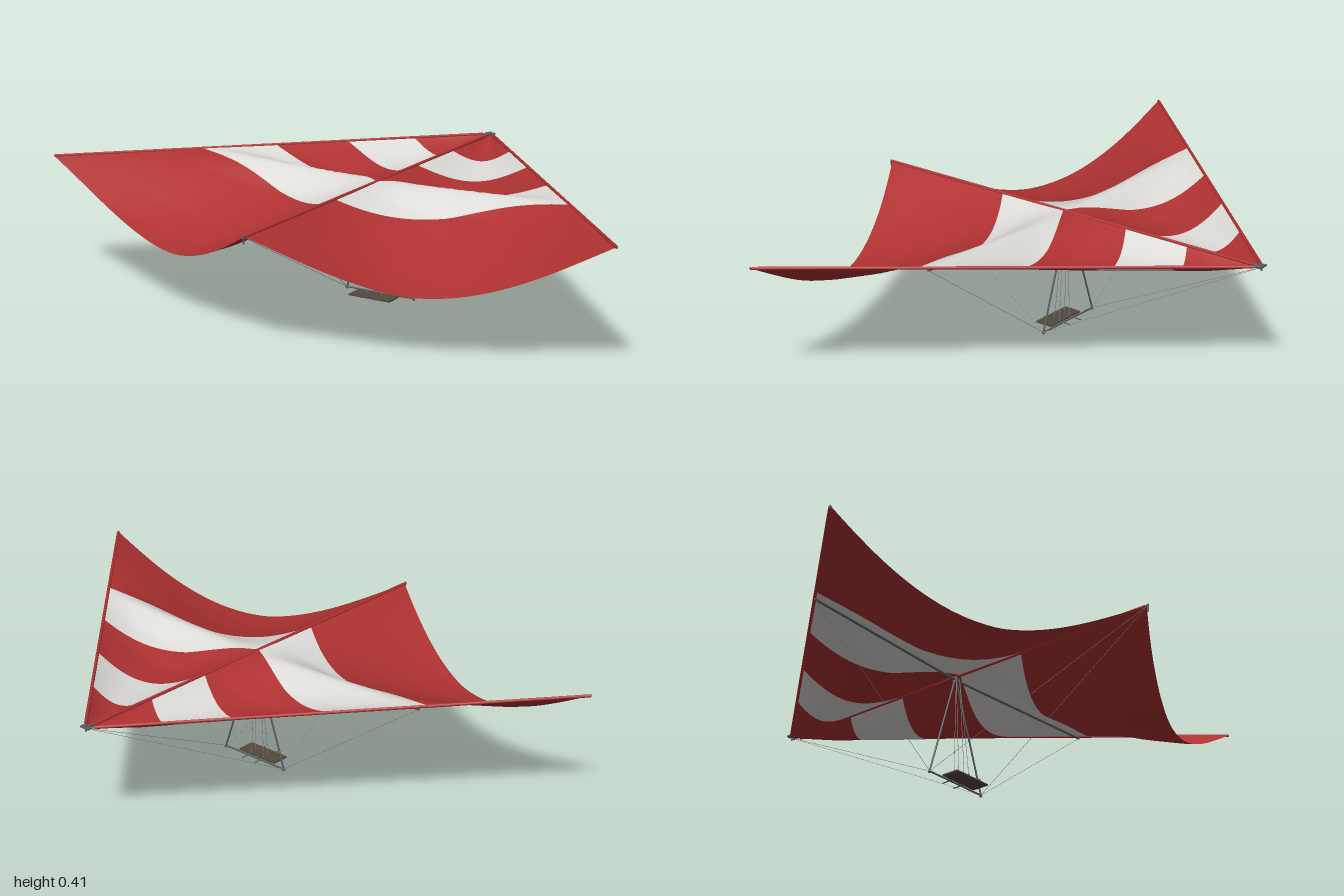
import * as THREE from 'three';

const mat = (name, color, side = THREE.FrontSide) => {
  const m = new THREE.MeshStandardMaterial({ color, side });
  m.name = name;
  return m;
};
const V = (x, y, z) => new THREE.Vector3(x, y, z);

// Depth of the sail's billow along z; the cross bar holds it up near z = 0
const BILLOW = [[-0.75, 0], [-0.6, 0.03], [-0.4, 0.052], [-0.2, 0.066], [-0.1, 0.045], [-0.05, 0.02],
  [-0.02, 0.003], [0, 0.003], [0.04, 0.025], [0.1, 0.065], [0.2, 0.105], [0.3, 0.143], [0.4, 0.172],
  [0.52, 0.192], [0.76, 0.192]];
function billow(z) {
  for (let i = 1; i < BILLOW.length; i++) {
    const [z0, d0] = BILLOW[i - 1], [z1, d1] = BILLOW[i];
    if (z <= z1) return d0 + (d1 - d0) * Math.max(0, (z - z0) / (z1 - z0));
  }
  return 0.192;
}

// Sail point: u runs from keel to leading edge, v from nose to trailing edge
function sailPoint(u, v, s) {
  const z = -0.74 + v * (1.48 + (1.115 - 1.48) * u) - 0.27 * v * u * (1 - u);
  const y = 0.382 + 0.031 * u * v - billow(z) * Math.sin(Math.PI * u);
  return [s * u * v, y, z];
}

// One coloured band of one wing, between v0 and v1
function sailBand(v0, v1, s) {
  const nu = 36, nv = Math.ceil((v1 - v0) * 100), pos = [], idx = [];
  for (let j = 0; j <= nv; j++)
    for (let i = 0; i <= nu; i++) pos.push(...sailPoint(i / nu, v0 + (v1 - v0) * j / nv, s));
  for (let j = 0; j < nv; j++)
    for (let i = 0; i < nu; i++) {
      const a = j * (nu + 1) + i, b = a + 1, c = a + nu + 1, d = c + 1;
      if (s > 0) idx.push(a, c, b, b, c, d);
      else idx.push(a, b, c, b, d, c);
    }
  const g = new THREE.BufferGeometry();
  g.setAttribute('position', new THREE.Float32BufferAttribute(pos, 3));
  g.setIndex(idx);
  g.computeVertexNormals();
  return g;
}

export function createModel() {
  const model = new THREE.Group();
  model.name = 'hangGlider';
  const red = mat('red cloth', 0xb03232);
  const redSail = mat('red sail', 0xb03232, THREE.DoubleSide);
  const whiteSail = mat('white sail', 0xdedcd8, THREE.DoubleSide);
  const frame = mat('frame grey', 0x5c5e60);
  const wire = mat('wire grey', 0x8c9090);
  const seatMat = mat('seat brown', 0x54493e);

  const add = (name, geo, m, p = V(0, 0, 0)) => {
    const mesh = new THREE.Mesh(geo, m);
    mesh.name = name;
    mesh.position.copy(p);
    model.add(mesh);
    return mesh;
  };
  const rod = (name, a, b, r, m, sides = 8) => {
    const mesh = add(name, new THREE.CylinderGeometry(r, r, a.distanceTo(b), sides), m,
      a.clone().add(b).multiplyScalar(0.5));
    mesh.quaternion.setFromUnitVectors(V(0, 1, 0), b.clone().sub(a).normalize());
  };

  // Striped sail
  const edges = [0.005, 0.184, 0.34, 0.506, 0.674, 1];
  for (const s of [1, -1])
    for (let i = 0; i < 5; i++)
      add('sailBand', sailBand(edges[i], edges[i + 1], s), i % 2 ? whiteSail : redSail);

  // Keel tube inside its cloth pocket, with end fittings
  const nose = V(0, 0.382, -0.742), tail = V(0, 0.382, 0.745), apex = V(0, 0.38, -0.01);
  rod('keel', nose, tail, 0.0035, frame);
  rod('keelPocket', V(0, 0.381, -0.70), V(0, 0.381, 0.735), 0.0055, red);
  add('nosePlate', new THREE.BoxGeometry(0.034, 0.005, 0.014), frame, V(0, 0.383, -0.738));
  add('noseBolt', new THREE.CylinderGeometry(0.003, 0.003, 0.02, 8), frame, V(0, 0.38, -0.738));
  add('tailFitting', new THREE.CylinderGeometry(0.003, 0.003, 0.024, 8), frame, V(0, 0.374, 0.744));
  add('apexBracket', new THREE.BoxGeometry(0.012, 0.02, 0.014), frame, V(0, 0.371, -0.01));

  const corner = s => V(s * 0.125, 0.01, -0.01);
  for (const s of [1, -1]) {
    const tip = V(s, 0.413, 0.375), barEnd = V(s * 0.655, 0.394, -0.01);
    rod('leadingEdge', nose, tip, 0.003, frame);
    rod('leadingEdgePocket', V(s * 0.02, 0.3825, -0.7197), V(s * 0.998, 0.4125, 0.3728), 0.005, red);
    rod('crossBar', V(0, 0.37, -0.01), barEnd, 0.004, frame);
    // Control frame
    rod('upright', apex, corner(s), 0.003, frame);
    add('cornerFitting', new THREE.SphereGeometry(0.005, 8, 6), frame, V(s * 0.125, 0.008, -0.01));
    // Rigging
    rod('noseWire', corner(s), nose, 0.0007, wire, 5);
    rod('tailWire', corner(s), tail, 0.0007, wire, 5);
    rod('sideWire', corner(s), barEnd, 0.0007, wire, 5);
    // Seat straps
    for (const z of [0.005, 0.025])
      rod('seatStrap', V(s * 0.008, 0.375, 0), V(s * 0.026, 0.012, z), 0.0009, wire, 5);
    // Seat rails
    rod('seatRail', V(s * 0.026, 0.01, -0.04), V(s * 0.026, 0.01, 0.068), 0.002, frame);
  }
  rod('baseBar', corner(-1), corner(1), 0.003, frame);

  // Hanging seat
  add('seat', new THREE.BoxGeometry(0.15, 0.005, 0.06), seatMat, V(0, 0.01, 0.03));
  return model;
}
